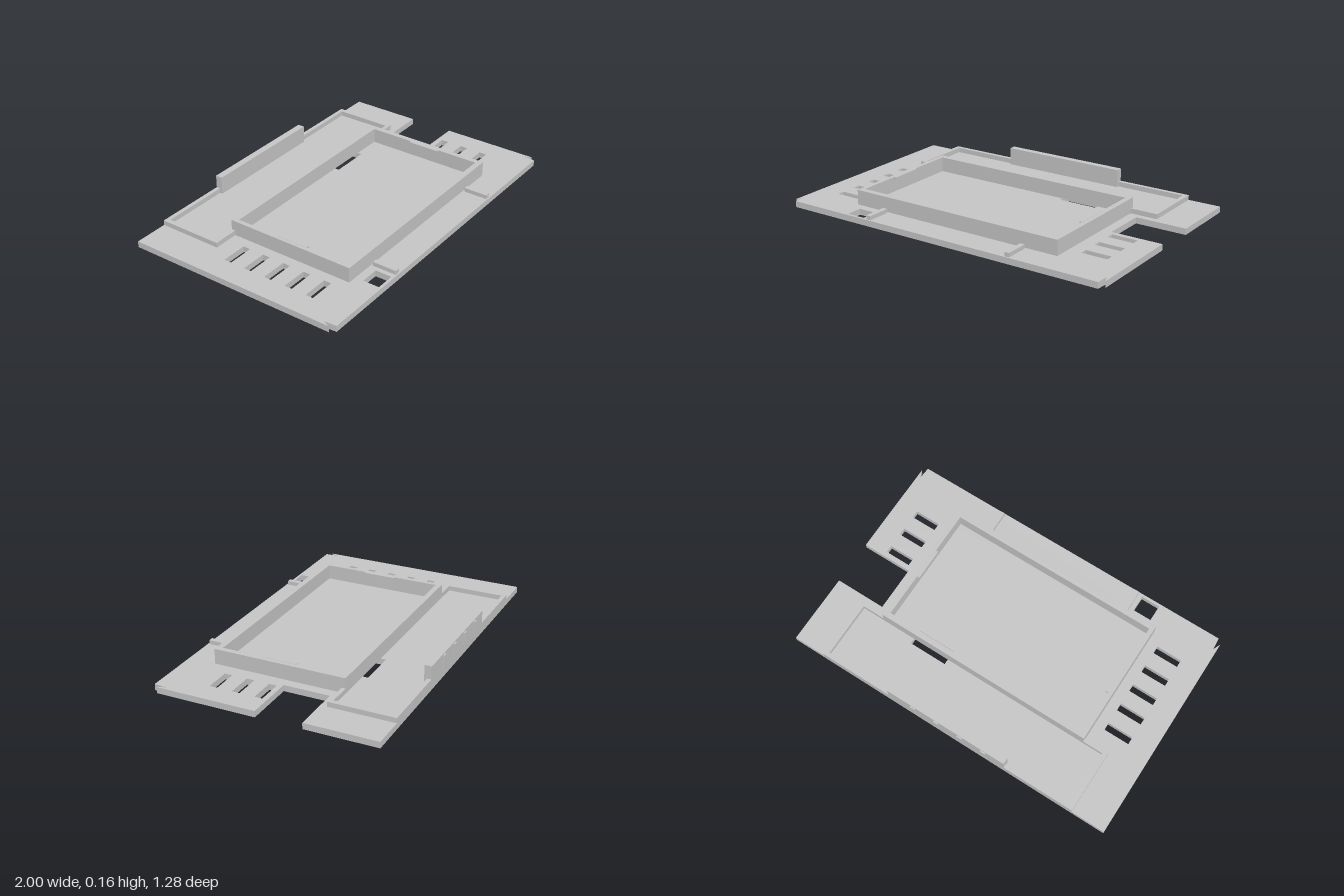
import * as THREE from 'three';

const grey = new THREE.MeshStandardMaterial({ color: 0xc6c6c6 });
grey.name = 'matte grey';

// Rectangle corners in plan, as [x, z]
const rect = (x0, x1, z0, z1) => [[x0, z0], [x1, z0], [x1, z1], [x0, z1]];
// Plan corners run clockwise, so they are reversed for the extrusion
const toPoints = (pts) => pts.map(([x, z]) => new THREE.Vector2(x, -z)).reverse();

// Extrudes a plan outline with holes from y0 up to y1
function slab(name, outline, holes, y0, y1) {
  const shape = new THREE.Shape(toPoints(outline));
  shape.holes = holes.map((h) => new THREE.Path(toPoints(h)));
  const geo = new THREE.ExtrudeGeometry(shape, { depth: y1 - y0, bevelEnabled: false });
  geo.rotateX(-Math.PI / 2).translate(0, y0, 0);
  const mesh = new THREE.Mesh(geo, grey);
  mesh.name = name;
  return mesh;
}

function block(name, x0, x1, y0, y1, z0, z1) {
  const geo = new THREE.BoxGeometry(x1 - x0, y1 - y0, z1 - z0);
  geo.translate((x0 + x1) / 2, (y0 + y1) / 2, (z0 + z1) / 2);
  const mesh = new THREE.Mesh(geo, grey);
  mesh.name = name;
  return mesh;
}

export function createModel() {
  const model = new THREE.Group();
  model.name = 'panel';
  const bottom = 0.025, top = 0.06, back = -0.632, front = 0.638;

  // Base plate: side notch and two small nicks at the front corners
  const outline = [
    [-1, back], [1, back], [1, -0.221], [0.703, -0.221], [0.703, 0.041], [1, 0.041],
    [1, 0.61], [0.981, 0.567], [0.976, front],
    [-0.976, front], [-0.981, 0.567], [-1, 0.61],
  ];

  // Openings: cable slot, square hole, vents on both sides
  const holes = [rect(0.22, 0.445, -0.312, -0.224), rect(-0.601, -0.492, 0.527, 0.622)];
  for (let i = 0; i < 5; i++) {
    const z = -0.132 + i * 0.1305;
    holes.push(rect(-0.864, -0.713, z - 0.022, z + 0.022));
  }
  for (let i = 0; i < 3; i++) {
    const z = 0.092 + i * 0.1305;
    holes.push(rect(0.723, 0.873, z - 0.022, z + 0.022));
  }

  // The lower layer also has the shallow recess of the underside
  const recess = rect(-0.6, 0.59, -0.2, 0.457);
  model.add(slab('basePlateTop', outline, holes, 0.045, top));
  model.add(slab('basePlateBottom', outline, [...holes, recess], bottom, 0.045));

  // Tall central frame with a small tab inside each side wall
  model.add(slab('centralFrame', rect(-0.655, 0.648, -0.281, 0.48),
    [rect(-0.63, 0.617, -0.249, 0.446)], top, 0.146));
  model.add(block('leftTab', 0.602, 0.622, 0.134, 0.147, 0.01, 0.2));
  model.add(block('rightTab', -0.635, -0.615, 0.134, 0.147, 0.01, 0.2));

  // Low frame at the back, open where it meets the central frame
  model.add(slab('backFrame', [
    [-0.802, back], [0.808, back], [0.808, -0.259], [0.648, -0.259], [0.648, -0.281],
    [0.782, -0.281], [0.782, -0.608], [-0.775, -0.608], [-0.775, -0.281],
    [-0.655, -0.281], [-0.655, -0.259], [-0.802, -0.259],
  ], [], top, 0.088));

  // Upright back wall with four ridges, and the lip below it
  model.add(block('backWall', -0.374, 0.372, top, 0.162, back, -0.592));
  for (let i = 0; i < 4; i++) {
    const x = -0.246 + i * 0.15;
    model.add(block('backRidge', x - 0.015, x + 0.015, 0.082, 0.154, -0.64, back + 0.002));
  }
  model.add(block('bottomLip', -0.28, 0.281, 0, bottom, -0.613, -0.557));

  // Short ribs at the front
  for (const x of [-0.451, 0.448]) {
    model.add(block('frontRib', x - 0.014, x + 0.014, top, 0.083, 0.491, 0.63));
  }
  return model;
}
